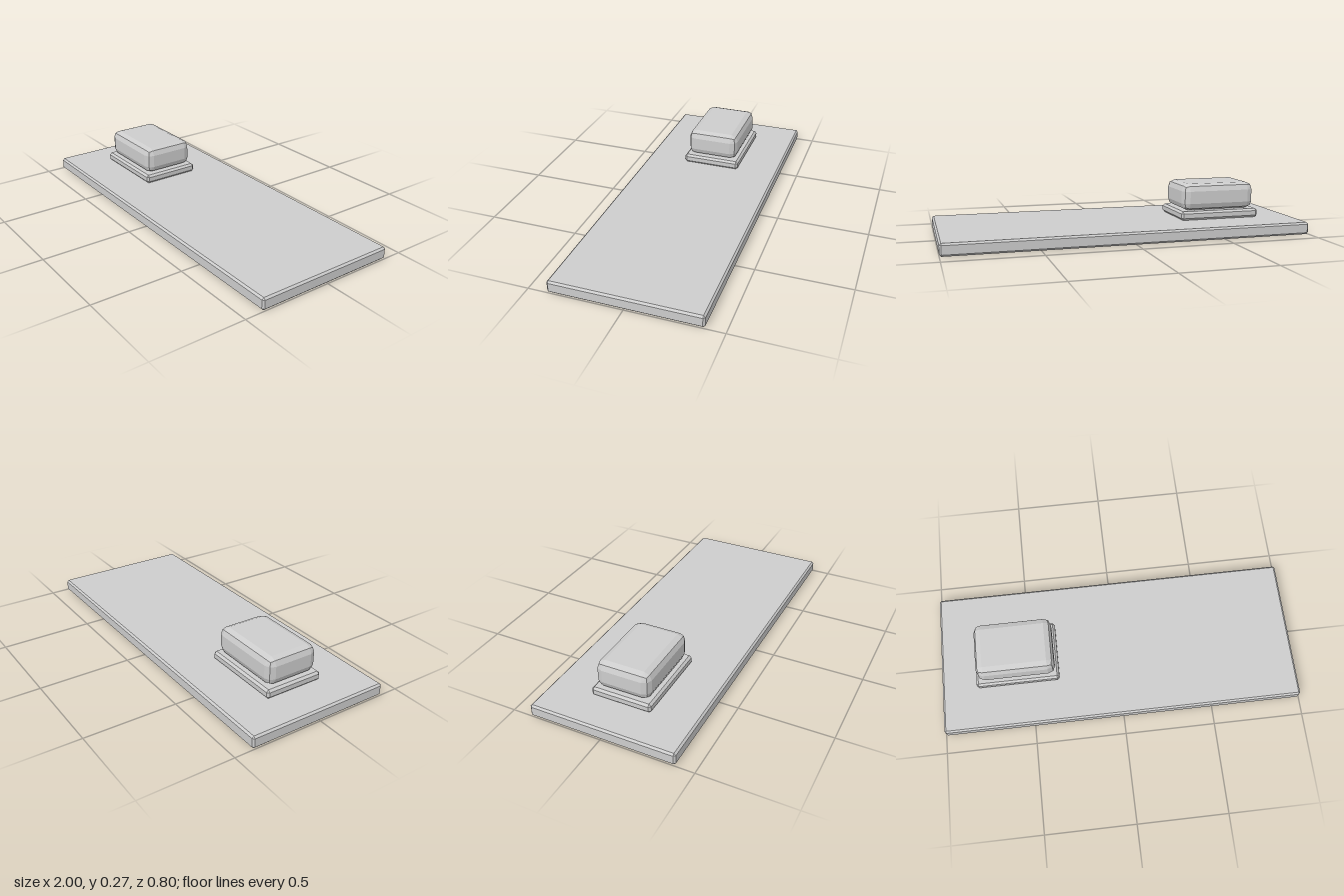
import * as THREE from 'three';
import { ConvexGeometry } from 'three/addons/geometries/ConvexGeometry.js';
import { RoundedBoxGeometry } from 'three/addons/geometries/RoundedBoxGeometry.js';

// Box with a single flat chamfer c along every edge
function chamferBox(w, h, d, c) {
  const points = [];
  for (const x of [-1, 1]) for (const y of [-1, 1]) for (const z of [-1, 1]) {
    for (let full = 0; full < 3; full++) {
      const inset = (size, axis) => size / 2 - (axis === full ? 0 : c);
      points.push(new THREE.Vector3(x * inset(w, 0), y * inset(h, 1), z * inset(d, 2)));
    }
  }
  return new ConvexGeometry(points);
}

export function createModel() {
  const group = new THREE.Group();
  const grey = new THREE.MeshStandardMaterial({ color: 0xcccccc });
  grey.name = 'light grey';

  function add(name, geometry, x, y) {
    const mesh = new THREE.Mesh(geometry, grey);
    mesh.name = name;
    mesh.position.set(x, y, 0);
    group.add(mesh);
  }

  // Long base slab
  add('baseSlab', chamferBox(2, 0.067, 0.8, 0.01), 0, 0.0335);

  // Thin mounting plate near the right end
  add('mountingPlate', chamferBox(0.464, 0.05, 0.332, 0.012), -0.57, 0.092);

  // Block with two flat facets around each edge
  const block = new RoundedBoxGeometry(0.43, 0.15, 0.298, 1, 0.04);
  block.computeVertexNormals();
  add('bevelledBlock', block, -0.57, 0.192);

  return group;
}
